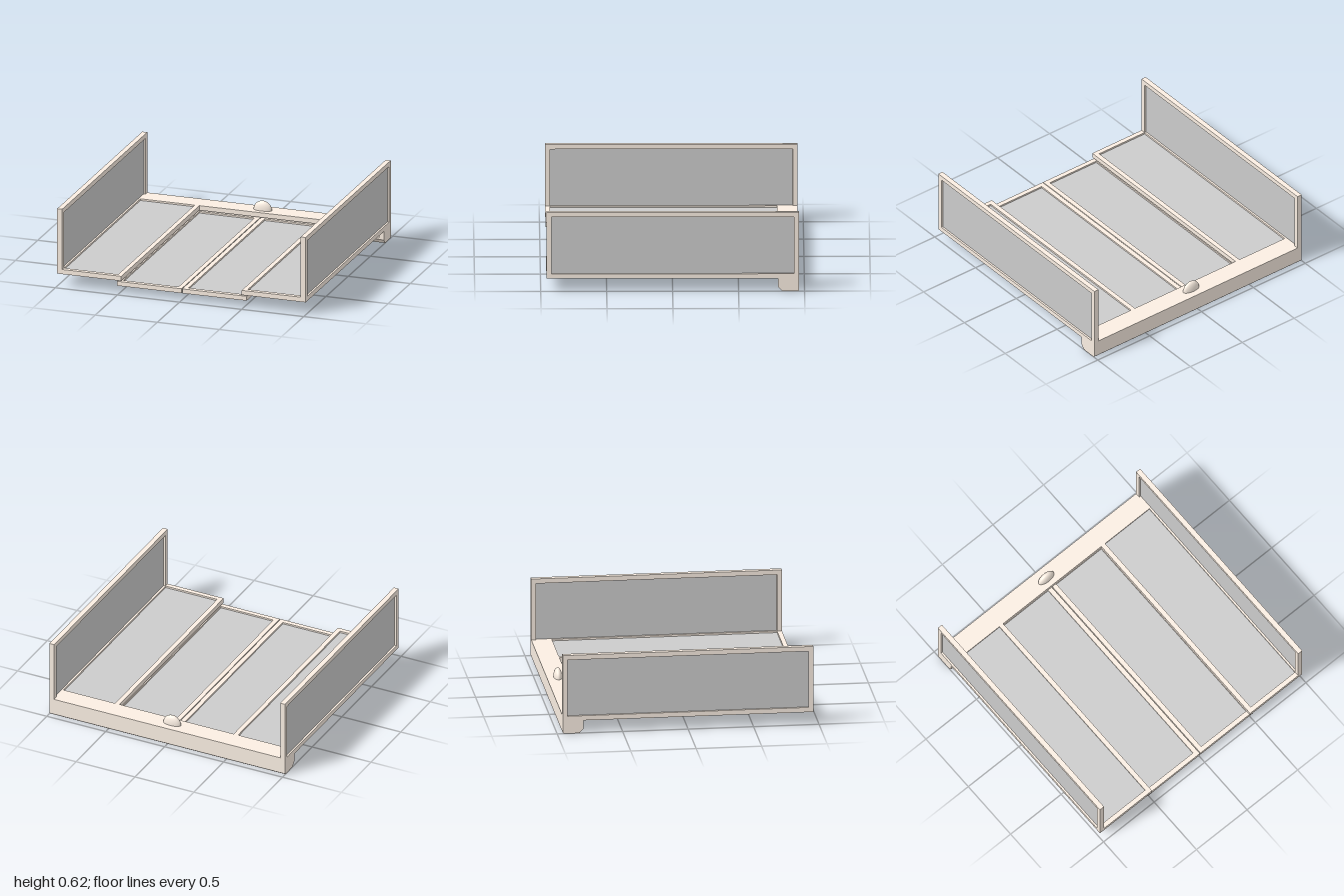
import * as THREE from 'three';

const frameMat = new THREE.MeshStandardMaterial({ color: 0xfaeee2 });
const glassMat = new THREE.MeshStandardMaterial({ color: 0xcccccc });
const RAIL = 0.037;

function addMesh(parent, name, geometry, material) {
  const mesh = new THREE.Mesh(geometry, material);
  mesh.name = name;
  parent.add(mesh);
  return mesh;
}

// Glazed panel: rectangular frame w x h in XY, centred, with a thin pane inside
function glazedPanel(name, w, h, depth) {
  const panel = new THREE.Group();
  panel.name = name;
  const rect = (Type, a, b) => new Type().moveTo(-a, -b).lineTo(a, -b).lineTo(a, b).lineTo(-a, b).closePath();
  const shape = rect(THREE.Shape, w / 2, h / 2);
  shape.holes.push(rect(THREE.Path, w / 2 - RAIL, h / 2 - RAIL));
  const frame = new THREE.ExtrudeGeometry(shape, { depth, bevelEnabled: false });
  frame.translate(0, 0, -depth / 2);
  addMesh(panel, name + 'Frame', frame, frameMat);
  addMesh(panel, name + 'Glass', new THREE.BoxGeometry(w - 2 * RAIL, h - 2 * RAIL, 0.01), glassMat);
  return panel;
}

// Flat panel lying in the XZ plane between the given limits
function flatPanel(name, x0, x1, y0, y1, z0, z1) {
  const panel = glazedPanel(name, x1 - x0, z1 - z0, y1 - y0);
  panel.rotation.x = -Math.PI / 2;
  panel.position.set((x0 + x1) / 2, (y0 + y1) / 2, (z0 + z1) / 2);
  return panel;
}

// Extrude a [z, y] profile along x from x0 to x1
function extrudeAlongX(points, x0, x1) {
  const shape = new THREE.Shape(points.map(([z, y]) => new THREE.Vector2(z, y)));
  const geometry = new THREE.ExtrudeGeometry(shape, { depth: x1 - x0, bevelEnabled: false });
  geometry.rotateY(-Math.PI / 2);
  return geometry.translate(x1, 0, 0);
}

export function createModel() {
  const model = new THREE.Group();
  model.name = 'slidingDoor';

  // Header: chamfered beam with a slot for the sliding leaves, closed at both ends
  const header = new THREE.Group();
  header.name = 'header';
  model.add(header);
  const back = [[-0.957, 0.137], [-0.957, 0.007], [-0.95, 0], [-0.83, 0], [-0.8, 0.033]];
  const slot = [[-0.8, 0.045], [-0.9, 0.045], [-0.9, 0.1], [-0.8, 0.1]];
  addMesh(header, 'headerBeam', extrudeAlongX([...back, ...slot, [-0.8, 0.137]], -0.96, 0.96), frameMat);
  for (const side of [-1, 1]) {
    const [x0, x1] = side > 0 ? [0.96, 1] : [-1, -0.96];
    addMesh(header, 'headerEnd', extrudeAlongX([...back, [-0.8, 0.137]], x0, x1), frameMat);
  }

  // Sensor dome on the header
  const dome = addMesh(model, 'sensorDome',
    new THREE.SphereGeometry(1, 40, 16, 0, Math.PI * 2, 0, Math.PI / 2), frameMat);
  dome.scale.set(0.073, 0.073, 0.033);
  dome.position.set(0, 0.137, -0.872);

  for (const side of [-1, 1]) {
    const label = side > 0 ? 'left' : 'right';
    const span = (a, b) => (side > 0 ? [a, b] : [-b, -a]);

    // Upright side screen
    const screen = glazedPanel(label + 'SideScreen', 1.914, 0.52, 0.04);
    screen.rotation.y = Math.PI / 2;
    screen.position.set(side * 0.98, 0.36, 0);
    model.add(screen);

    // Fixed leaf beside the opening
    model.add(flatPanel(label + 'FixedLeaf', ...span(0.485, 0.998), 0.1, 0.137, -0.838, 0.957));

    // Sliding leaf, running in the header slot
    model.add(flatPanel(label + 'SlidingLeaf', ...span(0.003, 0.522), 0.055, 0.09, -0.838, 0.947));
  }
  return model;
}
